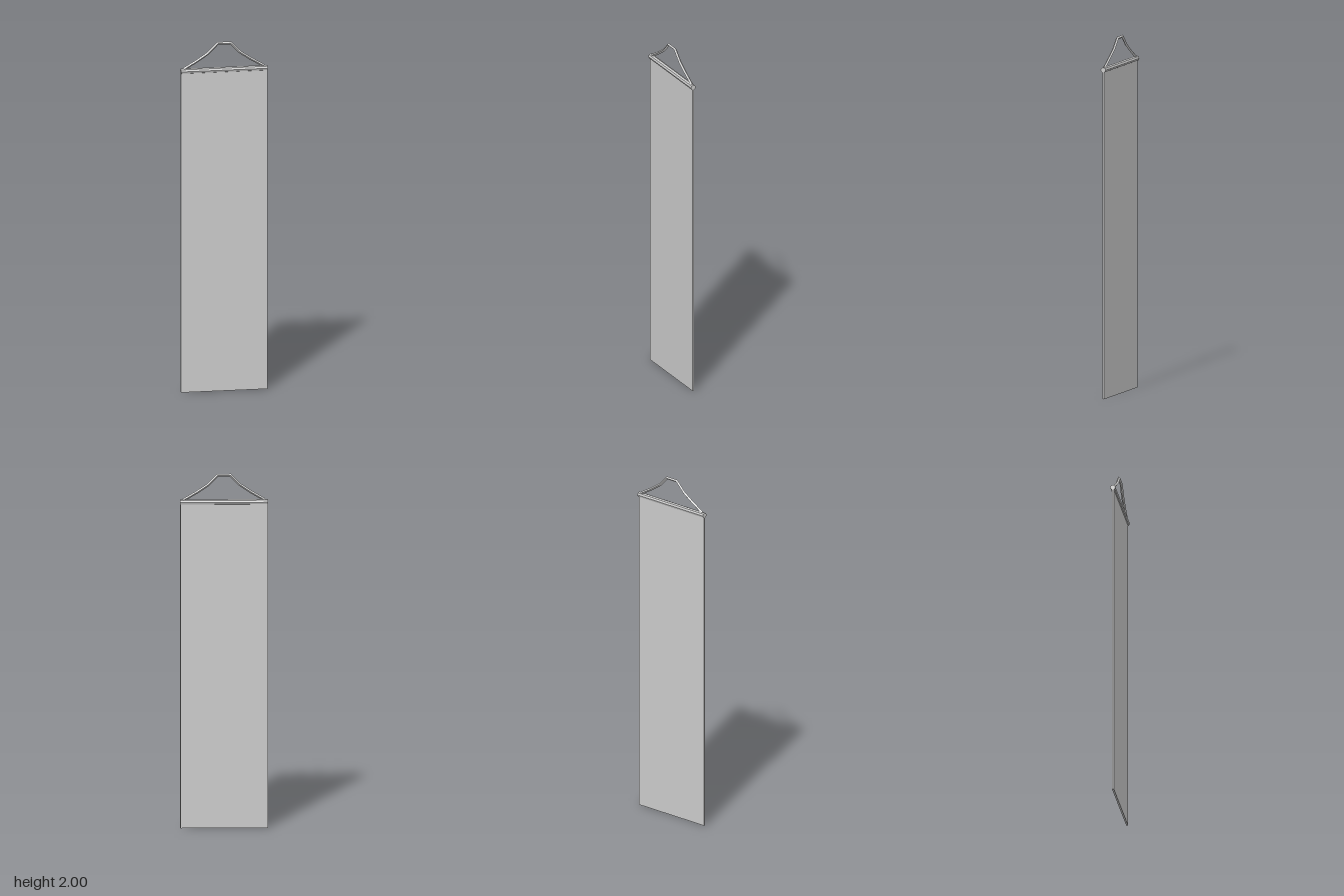
import * as THREE from 'three';

const material = new THREE.MeshStandardMaterial({ color: 0xcccccc, flatShading: true, side: THREE.DoubleSide });

function addPart(group, name, geometry, x = 0, y = 0, z = 0) {
  const mesh = new THREE.Mesh(geometry, material);
  mesh.name = name;
  mesh.position.set(x, y, z);
  group.add(mesh);
  return mesh;
}

// Diamond section swept with mitred corners along a path in the xy plane
function sweepCord(path, radius) {
  const sides = 4, positions = [], index = [];
  path.forEach((p, i) => {
    const before = path[Math.max(i - 1, 0)], after = path[Math.min(i + 1, path.length - 1)];
    const a = (i > 0 ? p.clone().sub(before) : after.clone().sub(p)).normalize();
    const b = (i < path.length - 1 ? after.clone().sub(p) : a.clone()).normalize();
    const t = a.clone().add(b).normalize();
    const reach = radius / t.dot(a);
    for (let s = 0; s < sides; s++) {
      const angle = (s / sides) * Math.PI * 2;
      const u = Math.cos(angle) * reach;
      positions.push(p.x - t.y * u, p.y + t.x * u, Math.sin(angle) * radius);
    }
  });
  for (let i = 0; i < path.length - 1; i++) {
    for (let s = 0; s < sides; s++) {
      const n = (s + 1) % sides, r = i * sides;
      index.push(r + s, r + n, r + sides + s, r + n, r + sides + n, r + sides + s);
    }
  }
  // End caps
  const last = (path.length - 1) * sides;
  index.push(0, 2, 1, 0, 3, 2, last, last + 1, last + 2, last, last + 2, last + 3);
  const geometry = new THREE.BufferGeometry();
  geometry.setAttribute('position', new THREE.Float32BufferAttribute(positions, 3));
  geometry.setIndex(index);
  geometry.computeVertexNormals();
  return geometry;
}

export function createModel() {
  const group = new THREE.Group();
  group.name = 'hangingBanner';

  // Thin hanging cloth
  addPart(group, 'cloth', new THREE.BoxGeometry(0.484, 1.83, 0.01), 0, 0.915, -0.001);

  // Octagonal rod along the top edge
  const rod = addPart(group, 'rod', new THREE.CylinderGeometry(0.015, 0.015, 0.486, 8), 0, 1.841, -0.001);
  rod.rotation.z = Math.PI / 2;

  // Hanging cord, mirrored about the flat top
  const half = [[0.225, 1.853], [0.15, 1.897], [0.09, 1.937], [0.036, 1.992]];
  const right = half.map(([x, y]) => new THREE.Vector2(-x, y));
  const left = half.map(([x, y]) => new THREE.Vector2(x, y)).reverse();
  addPart(group, 'cord', sweepCord([...right, ...left], 0.008), 0, 0, -0.001);

  return group;
}
